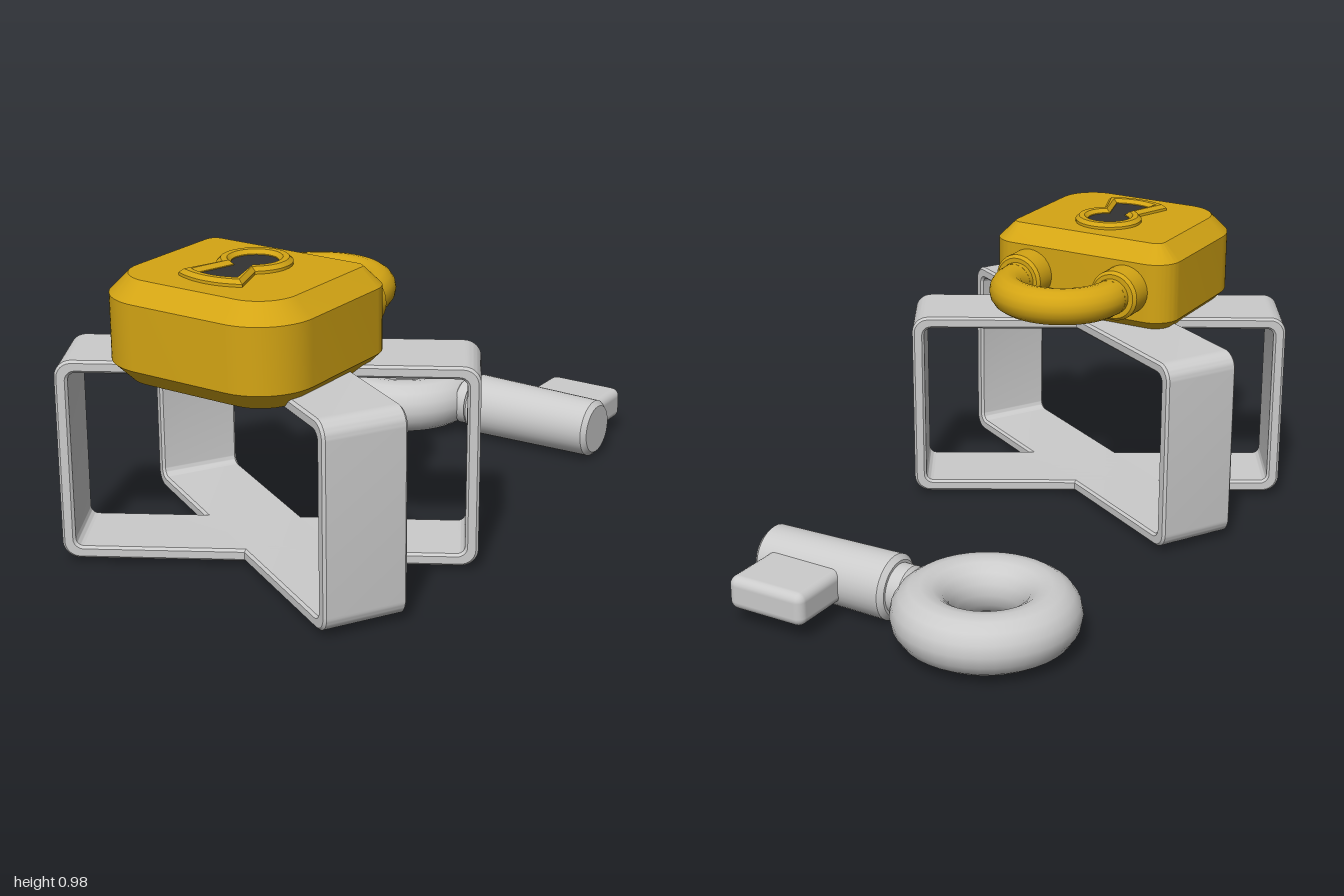
import * as THREE from 'three';
import { toCreasedNormals } from 'three/addons/utils/BufferGeometryUtils.js';
import { RoundedBoxGeometry } from 'three/addons/geometries/RoundedBoxGeometry.js';

const grey = new THREE.MeshStandardMaterial({ color: 0xcccccc });
const gold = new THREE.MeshStandardMaterial({ color: 0xd4a514 });
const dark = new THREE.MeshStandardMaterial({ color: 0x333333 });

function add(parent, name, geometry, material, x = 0, y = 0, z = 0) {
  const mesh = new THREE.Mesh(geometry, material);
  mesh.name = name;
  mesh.position.set(x, y, z);
  parent.add(mesh);
  return mesh;
}

// Rectangle outline with separate radii for its lower and upper corners
function roundedRect(Type, x0, y0, x1, y1, rLow, rHigh = rLow) {
  const s = new Type();
  s.moveTo(x0 + rLow, y0);
  s.lineTo(x1 - rLow, y0);
  s.absarc(x1 - rLow, y0 + rLow, rLow, -Math.PI / 2, 0);
  s.lineTo(x1, y1 - rHigh);
  s.absarc(x1 - rHigh, y1 - rHigh, rHigh, 0, Math.PI / 2);
  s.lineTo(x0 + rHigh, y1);
  s.absarc(x0 + rHigh, y1 - rHigh, rHigh, Math.PI / 2, Math.PI);
  s.lineTo(x0, y0 + rLow);
  s.absarc(x0 + rLow, y0 + rLow, rLow, Math.PI, Math.PI * 1.5);
  return s;
}

// Extrusion whose chamfer stays inside the outline; it spans 0..height in z
function chamferExtrude(shape, height, chamfer, curveSegments = 10) {
  const g = new THREE.ExtrudeGeometry(shape, {
    depth: height - 2 * chamfer, bevelThickness: chamfer, bevelSize: chamfer,
    bevelOffset: -chamfer, bevelSegments: 1, curveSegments,
  });
  return toCreasedNormals(g.translate(0, 0, chamfer), 0.5);
}

// Round rod along +y with chamfered ends
function rod(r0, r1, length, c) {
  const pts = [[0, 0], [r0 - c, 0], [r0, c], [r1, length - c], [r1 - c, length], [0, length]];
  const g = new THREE.LatheGeometry(pts.map(p => new THREE.Vector2(...p)), 32);
  return toCreasedNormals(g, 0.5);
}

// Keyhole outline: round head, flared slot, bowed lower edge
function keyhole(Type, r, neckX, footX, footY, bow) {
  const s = new Type();
  const a = Math.acos(neckX / r);
  s.absarc(0, 0, r, -a, Math.PI + a);
  s.lineTo(-footX, -footY);
  s.quadraticCurveTo(0, -footY - 2 * bow, footX, -footY);
  s.closePath();
  return s;
}

function makePadlock() {
  const lock = new THREE.Group();
  lock.name = 'padlock';

  // Body lies flat, its shackle pointing back
  const outline = roundedRect(THREE.Shape, -0.345, -1.0, 0.345, -0.392, 0.18, 0.09);
  add(lock, 'lockBody', chamferExtrude(outline, 0.32, 0.058).rotateX(-Math.PI / 2), gold, 0, 0.64, 0);

  // Raised rim and dark opening of the keyhole
  const rim = keyhole(THREE.Shape, 0.115, 0.068, 0.115, 0.22, 0.028);
  rim.holes.push(keyhole(THREE.Path, 0.072, 0.03, 0.069, 0.193, 0.015));
  add(lock, 'keyholeRim', chamferExtrude(rim, 0.04, 0.012, 14).rotateX(-Math.PI / 2), gold, 0, 0.941, 0.62);
  const opening = new THREE.ShapeGeometry(keyhole(THREE.Shape, 0.085, 0.042, 0.082, 0.2, 0.018), 14);
  add(lock, 'keyholeOpening', opening.rotateX(-Math.PI / 2), dark, 0, 0.966, 0.62);

  // Shackle arch, straight legs and collars
  const arch = new THREE.TorusGeometry(0.182, 0.061, 16, 32, Math.PI).rotateX(-Math.PI / 2);
  add(lock, 'shackleArch', arch, gold, 0, 0.802, 0.285);
  for (const side of [-1, 1]) {
    const leg = new THREE.CylinderGeometry(0.061, 0.061, 0.135, 24).rotateX(-Math.PI / 2);
    add(lock, 'shackleLeg', leg, gold, side * 0.182, 0.802, 0.352);
    add(lock, 'shackleCollar', rod(0.086, 0.086, 0.13, 0.01).rotateX(-Math.PI / 2), gold, side * 0.184, 0.802, 0.435);
  }
  return lock;
}

function makeBands() {
  const bands = new THREE.Group();
  bands.name = 'crossedBands';
  // Two rectangular hoops crossing at the middle
  for (const side of [-1, 1]) {
    const hoop = roundedRect(THREE.Shape, -0.645, 0.018, 0.645, 0.668, 0.055);
    hoop.holes.push(roundedRect(THREE.Path, -0.604, 0.058, 0.604, 0.628, 0.025));
    const g = chamferExtrude(hoop, 0.27, 0.008, 6).translate(0, 0, -0.135);
    add(bands, 'band', g, grey, 0, 0, 0.55).rotation.y = side * Math.PI / 6;
  }
  return bands;
}

function makeKey() {
  const key = new THREE.Group();
  key.name = 'key';
  key.position.set(0, 0.108, -0.705);
  add(key, 'keyRing', new THREE.TorusGeometry(0.2, 0.094, 16, 40).rotateX(Math.PI / 2), grey, -0.3, 0, 0);
  add(key, 'keyNeck', rod(0.082, 0.082, 0.13, 0.02).rotateZ(-Math.PI / 2), grey, -0.05, 0, 0);
  add(key, 'keyShaft', rod(0.107, 0.1, 0.492, 0.016).rotateZ(-Math.PI / 2), grey, 0.013, 0, 0);
  add(key, 'keyBit', new RoundedBoxGeometry(0.28, 0.112, 0.24, 3, 0.03), grey, 0.315, 0, -0.175);
  return key;
}

export function createModel() {
  const model = new THREE.Group();
  model.name = 'padlockAndKey';
  model.add(makePadlock(), makeBands(), makeKey());
  return model;
}
